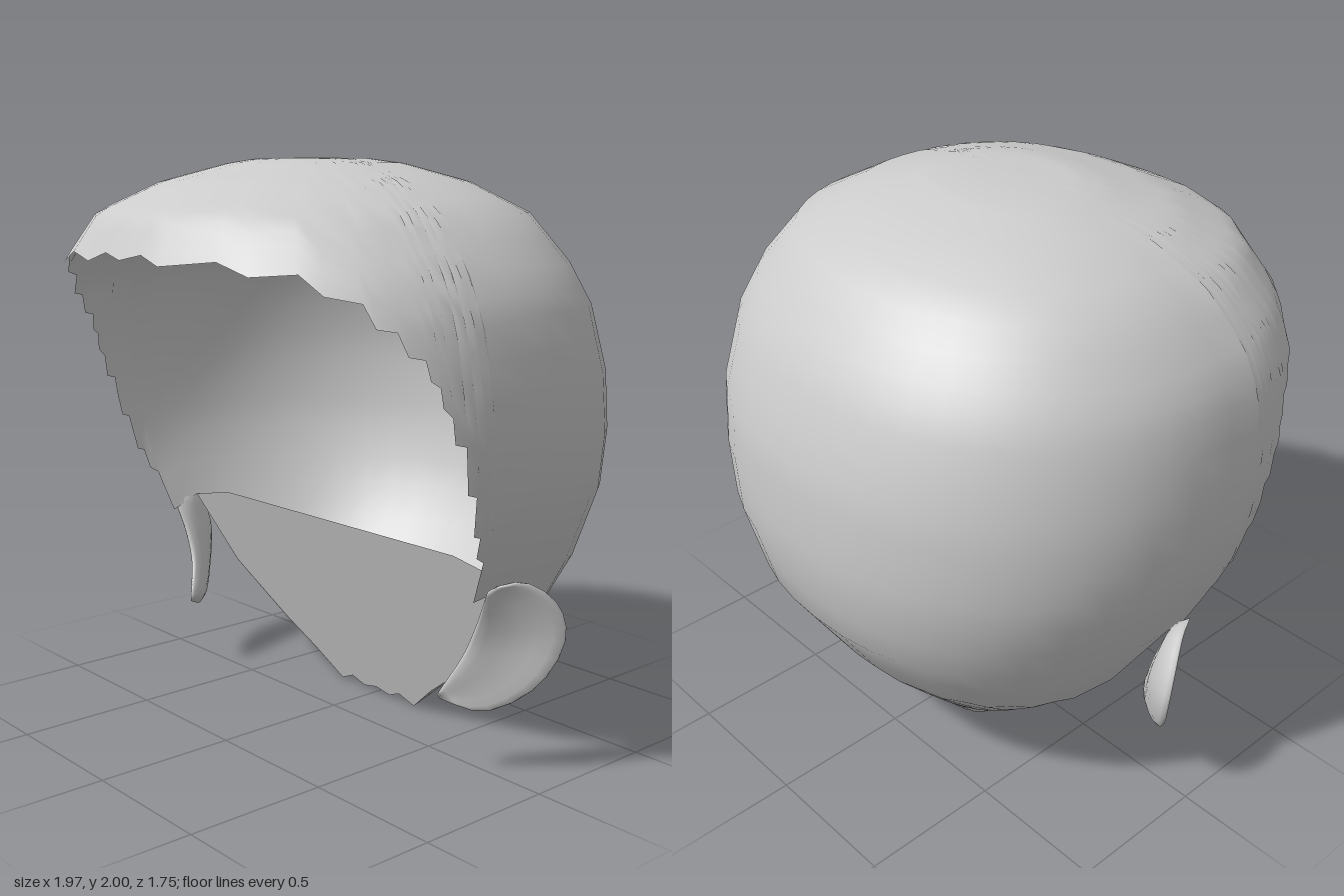
import * as THREE from 'three';
import { mergeVertices } from 'three/addons/utils/BufferGeometryUtils.js';

const material = new THREE.MeshStandardMaterial({ color: 0xcccccc, side: THREE.DoubleSide });
const P = 2.2; // roundness of the horizontal slices

// Horizontal slices of the hair: y, half width, back z, widest z, front z
const SLICES = [
  [2.0, 0, 0.08, 0.08, 0.08], [1.995, 0.22, -0.06, 0.08, 0.28], [1.98, 0.33, -0.17, 0.08, 0.36],
  [1.92, 0.55, -0.38, 0.08, 0.58], [1.82, 0.74, -0.58, 0.08, 0.8], [1.66, 0.88, -0.71, 0.1, 0.89],
  [1.52, 0.95, -0.79, 0.1, 0.93], [1.3, 0.985, -0.86, 0.08, 0.95], [1.1, 0.985, -0.875, 0.05, 0.95],
  [0.9, 0.95, -0.87, 0.02, 0.93], [0.66, 0.855, -0.815, 0, 0.9], [0.4, 0.7, -0.65, -0.085, 0.7],
  [0.2, 0.46, -0.47, -0.15, 0.5], [0.1, 0.32, -0.38, -0.185, 0.3], [0, 0.2, -0.29, -0.22, 0],
];
const EAR_ROW = 10;
const LAST_ROW = SLICES.length - 1;

// Jagged hairline from beside the ear up to the middle of the forehead
const HAIRLINE = [
  [0.85, 0.62, 0.14], [0.89, 0.77, 0.15], [0.9, 0.79, 0.2], [0.925, 0.86, 0.2], [0.925, 0.87, 0.24],
  [0.955, 1, 0.235], [0.955, 1.01, 0.295], [0.97, 1.16, 0.31], [0.97, 1.17, 0.36], [0.96, 1.25, 0.365],
  [0.955, 1.28, 0.4], [0.945, 1.34, 0.405], [0.94, 1.36, 0.435], [0.915, 1.42, 0.44], [0.9, 1.43, 0.49],
  [0.87, 1.5, 0.51], [0.85, 1.51, 0.57], [0.8, 1.58, 0.58], [0.72, 1.6, 0.66], [0.63, 1.66, 0.68],
  [0.52, 1.65, 0.78], [0.4, 1.69, 0.8], [0.2, 1.67, 0.88], [0.1, 1.7, 0.87], [0, 1.68, 0.87],
];

// Slice values at a fractional row
function sliceAt(row) {
  const i = Math.min(Math.floor(row), LAST_ROW - 1);
  return SLICES[i].map((v, k) => THREE.MathUtils.lerp(v, SLICES[i + 1][k], row - i));
}

// Fractional row at a height
function rowAt(y) {
  let i = 0;
  while (i < LAST_ROW - 1 && SLICES[i + 1][0] > y) i++;
  return i + (SLICES[i][0] - y) / (SLICES[i][0] - SLICES[i + 1][0]);
}

// Point on the hair; angle 0 is the back, PI the front
function hairPoint(angle, row) {
  const [y, w, back, mid, front] = sliceAt(row);
  const s = Math.sin(angle), c = Math.cos(angle);
  const x = w * Math.sign(s) * Math.abs(s) ** (2 / P);
  const reach = Math.abs(c) ** (2 / P);
  return [x, y, mid + reach * ((c > 0 ? back : front) - mid)];
}

// Smooth surface from a grid of points, closed around its columns
function gridGeometry(rows, cols, point, hasFace = () => true) {
  const positions = [], index = [];
  for (let r = 0; r < rows; r++) {
    for (let c = 0; c < cols; c++) {
      positions.push(...point(r, c));
      const d = (c + 1) % cols;
      if (r === rows - 1 || !hasFace(r, c, d)) continue;
      const a = r * cols + c, b = r * cols + d;
      index.push(a, b, a + cols, b, b + cols, a + cols);
    }
  }
  let geometry = new THREE.BufferGeometry();
  geometry.setAttribute('position', new THREE.Float32BufferAttribute(positions, 3));
  geometry.setIndex(index);
  geometry = mergeVertices(geometry, 1e-5);
  geometry.computeVertexNormals();
  return geometry;
}

function hairGeometry() {
  // Columns of one half: plain at the back, following the hairline in front
  const half = [];
  const backSteps = 12;
  for (let j = 0; j <= backSteps; j++) {
    half.push({ angle: (j / backSteps) * Math.PI / 2, hem: EAR_ROW, end: LAST_ROW - (j % 2) * 0.3, nape: true });
  }
  let previous = Math.PI / 2 + 0.02;
  for (const [x, y, z] of HAIRLINE) {
    const hem = rowAt(y);
    const [, w, , mid, front] = sliceAt(hem);
    const u = (x / w) ** (P / 2), v = Math.max(0, (z - mid) / (front - mid)) ** (P / 2);
    previous = Math.max(previous + 0.003, Math.PI - Math.atan2(u, v));
    half.push({ angle: Math.min(previous, Math.PI), hem, end: hem, nape: false });
  }
  const mirrored = half.slice(1, -1).reverse().map((c) => ({ ...c, angle: -c.angle }));
  const columns = [...half, ...mirrored];
  const upper = 20, lower = 8;
  return gridGeometry(upper + lower + 1, columns.length, (r, c) => {
    const { angle, hem, end } = columns[c];
    const row = r <= upper ? (hem * r) / upper : THREE.MathUtils.lerp(hem, end, (r - upper) / lower);
    return hairPoint(angle, row);
  }, (r, c, d) => r < upper || (columns[c].nape && columns[d].nape));
}

// Sloping panel closing the front of the nape
function napeGeometry() {
  const side = SLICES.slice(EAR_ROW).map(([y, w]) => [w, y]);
  const right = [[0, 0.71], [0.62, 0.71], ...side, [0.13, 0.03], [0.07, 0.005], [0, 0.02]];
  const left = right.slice(1, -1).reverse().map(([x, y]) => [-x, y]);
  const outline = [...right, ...left].map(([x, y]) => new THREE.Vector2(x, y));
  const geometry = new THREE.ShapeGeometry(new THREE.Shape(outline));
  const p = geometry.attributes.position;
  for (let i = 0; i < p.count; i++) p.setZ(i, -0.22 + 0.335 * p.getY(i));
  geometry.computeVertexNormals();
  return geometry;
}

// Cupped ear between a front edge and an outer rim
function earGeometry() {
  const curve = (points) => new THREE.CatmullRomCurve3(points.map((q) => new THREE.Vector3(...q)));
  const edge = curve([[0.86, 0.66, 0.11], [0.8, 0.53, 0.095], [0.75, 0.42, 0.1], [0.69, 0.285, 0.155]]);
  const rim = curve([[0.87, 0.67, 0.1], [0.92, 0.682, 0.0], [0.975, 0.6, -0.1], [0.982, 0.48, -0.13],
    [0.92, 0.32, -0.07], [0.79, 0.225, 0.04], [0.7, 0.27, 0.15]]);
  const out = new THREE.Vector3(0.75, -0.25, 0.6).normalize();
  const rows = 16, cols = 16;
  return gridGeometry(rows + 1, cols, (r, c) => {
    const t = r / rows, theta = (-2 * Math.PI * c) / cols;
    const taper = Math.sqrt(Math.max(0, Math.sin(Math.PI * t)));
    const across = (1 - Math.cos(theta)) / 2;
    const thickness = 0.03 * Math.sin(theta) - 0.025 * Math.sin(Math.PI * across);
    return edge.getPoint(t).lerp(rim.getPoint(t), across).addScaledVector(out, thickness * taper).toArray();
  });
}

export function createModel() {
  const group = new THREE.Group();
  const add = (name, geometry) => {
    const mesh = new THREE.Mesh(geometry, material);
    mesh.name = name;
    group.add(mesh);
    return mesh;
  };
  add('hair', hairGeometry());
  add('napePanel', napeGeometry());
  const ear = earGeometry();
  add('leftEar', ear);
  add('rightEar', ear).scale.x = -1;
  return group;
}
